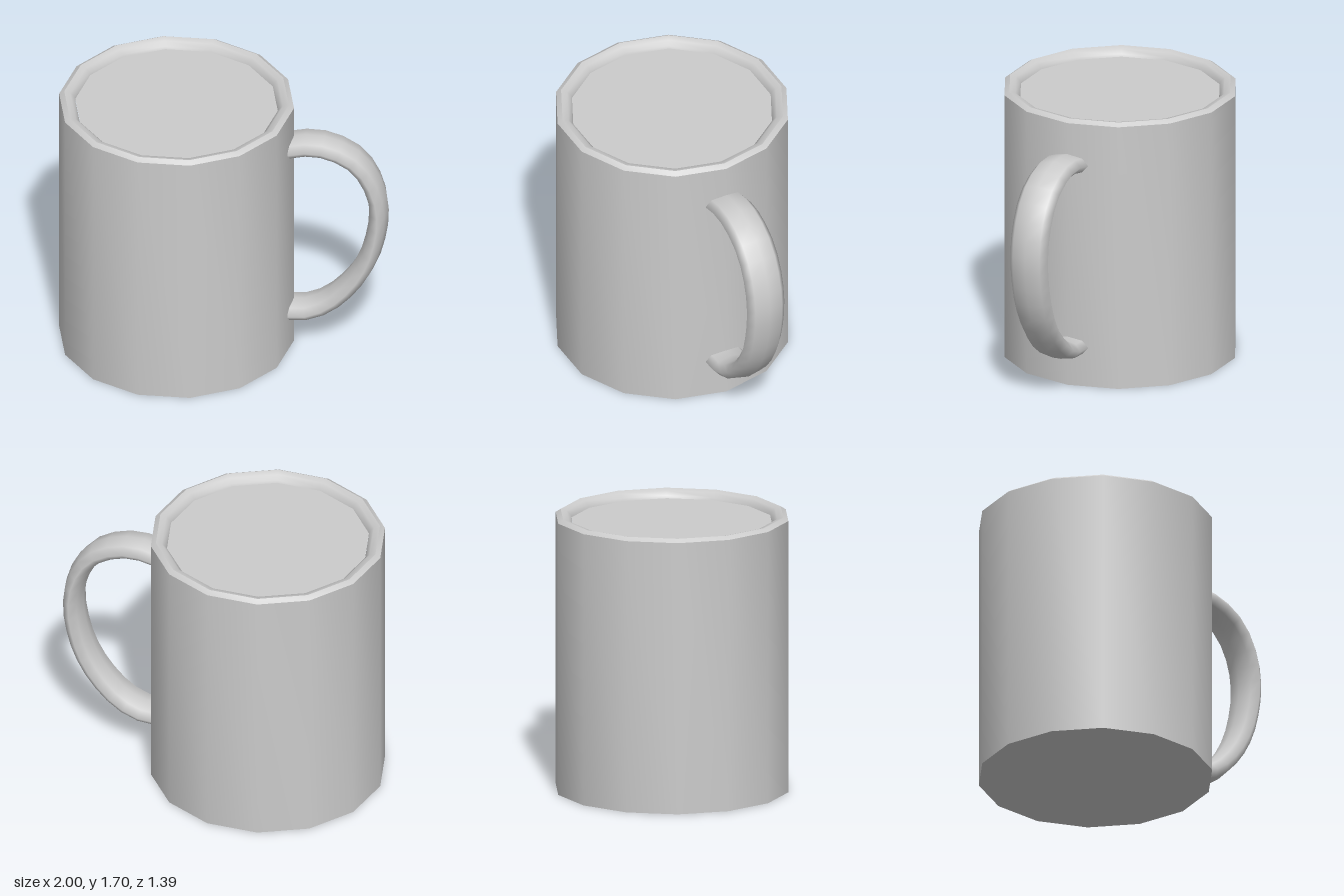
import * as THREE from 'three';
import { toCreasedNormals } from 'three/addons/utils/BufferGeometryUtils.js';

const SIDES = 14;
const CENTRE_X = -0.287;

export function createModel() {
  const group = new THREE.Group();
  group.name = 'mug';
  const material = new THREE.MeshStandardMaterial({ color: 0xcccccc });
  const add = (name, geometry, x = 0, y = 0) => {
    const mesh = new THREE.Mesh(geometry, material);
    mesh.name = name;
    mesh.position.set(x, y, 0);
    group.add(mesh);
    return mesh;
  };

  // Faceted wall with a rounded lip that turns inward
  const profile = [
    [0.713, 0], [0.713, 1.68], [0.682, 1.7], [0.645, 1.69], [0.62, 1.665], [0.613, 1.63],
  ].map(([r, y]) => new THREE.Vector2(r, y));
  const wall = new THREE.LatheGeometry(profile, SIDES, Math.PI / 2);
  add('cupWall', toCreasedNormals(wall, 0.8), CENTRE_X);

  // Flat base and the surface of the drink
  const base = new THREE.CircleGeometry(0.713, SIDES).rotateX(Math.PI / 2);
  add('cupBase', base, CENTRE_X);
  const drink = new THREE.CircleGeometry(0.615, SIDES).rotateX(-Math.PI / 2);
  add('drinkSurface', drink, CENTRE_X, 1.65);

  // Ear-shaped handle: a round tube widened into a flat oval
  const path = new THREE.CatmullRomCurve3([
    [0.4, 1.415], [0.49, 1.435], [0.6, 1.433], [0.725, 1.39], [0.82, 1.32], [0.888, 1.215],
    [0.93, 1.09], [0.942, 0.95], [0.925, 0.81], [0.885, 0.66], [0.82, 0.525], [0.73, 0.405],
    [0.625, 0.31], [0.505, 0.255], [0.4, 0.248],
  ].map(([x, y]) => new THREE.Vector3(x, y, 0)));
  const radius = 0.06;
  const handle = new THREE.TubeGeometry(path, 18, radius, 8, false);
  handle.scale(1, 1, 0.127 / radius);
  add('handle', handle);

  // Caps closing the handle ends against the wall
  for (const [name, y] of [['upperHandleEnd', 1.415], ['lowerHandleEnd', 0.248]]) {
    const cap = new THREE.CircleGeometry(radius, 8).rotateY(-Math.PI / 2);
    cap.scale(1, 1, 0.127 / radius);
    add(name, cap, 0.4, y);
  }
  return group;
}
